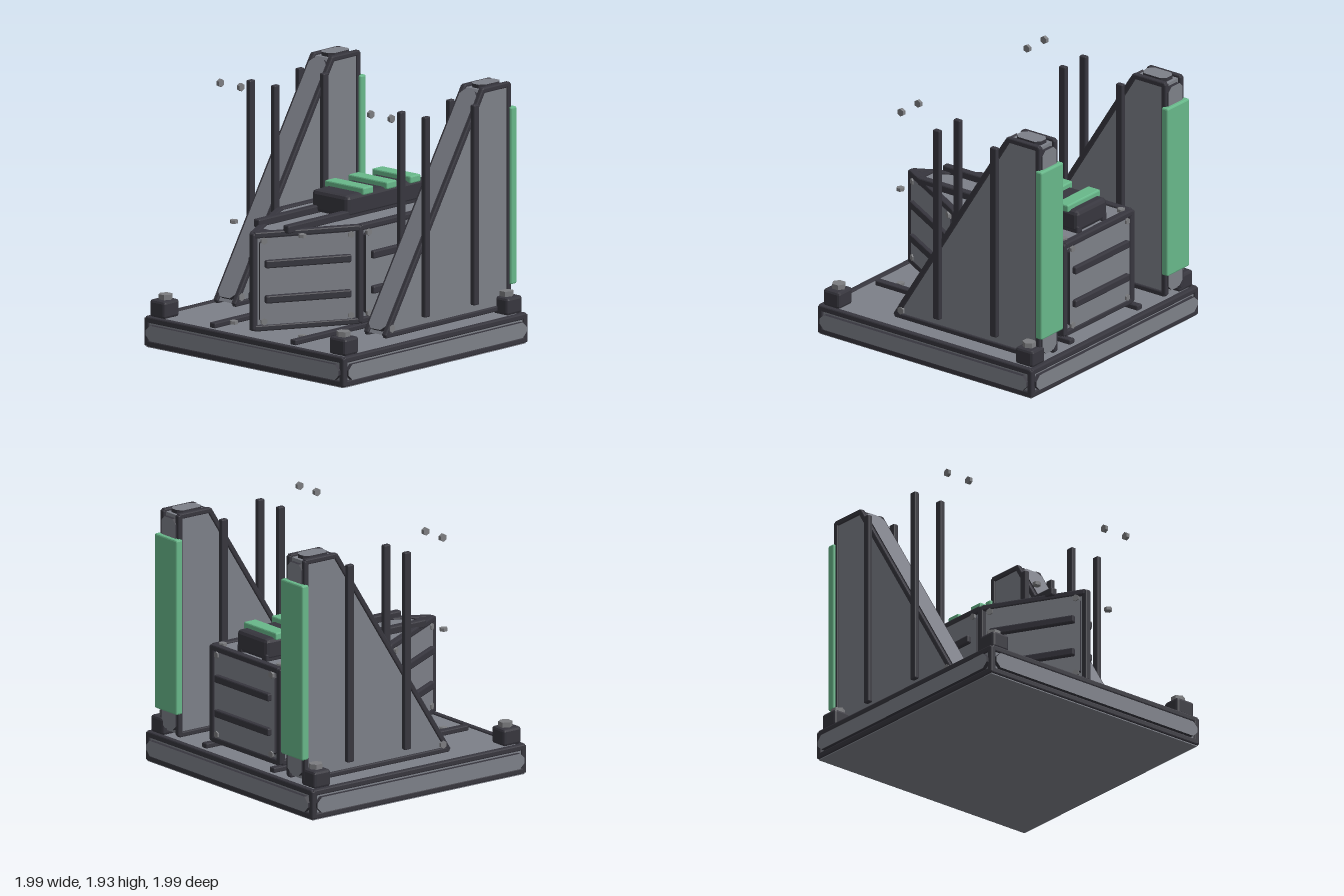
import * as THREE from 'three';
import { RoundedBoxGeometry } from 'three/addons/geometries/RoundedBoxGeometry.js';

const mat = (name, color) => new THREE.MeshStandardMaterial({ name, color });
const V = (x, y, z) => new THREE.Vector3(x, y, z);

export function createModel() {
  const grey = mat('panel grey', 0x7d8088);
  const dark = mat('frame charcoal', 0x37363e);
  const green = mat('accent green', 0x68b88a);
  const steel = mat('bolt steel', 0x7c7d80);

  const model = new THREE.Group();
  model.name = 'monument';

  const flat = (geo) => {
    const g = geo.index ? geo.toNonIndexed() : geo;
    g.computeVertexNormals();
    return g;
  };

  const add = (parent, name, geo, material, pos = V(0, 0, 0)) => {
    const mesh = new THREE.Mesh(geo, material);
    mesh.name = name;
    mesh.position.copy(pos);
    parent.add(mesh);
    return mesh;
  };

  // Chamfered box
  const box = (parent, name, material, pos, w, h, d, bevel = 0.01) =>
    add(parent, name, flat(new RoundedBoxGeometry(w, h, d, 1, bevel)), material, pos);

  // Turn a mesh so its z axis points along a direction
  const face = (mesh, dir) => {
    const q = new THREE.Object3D();
    q.position.copy(mesh.position);
    q.lookAt(mesh.position.clone().add(dir));
    mesh.quaternion.copy(q.quaternion);
    return mesh;
  };

  // Chamfered bar between two points
  const beam = (parent, name, a, b, w = 0.045, h = w, extra = 0.02) => {
    const dir = b.clone().sub(a);
    const mid = a.clone().add(b).multiplyScalar(0.5);
    const bar = box(parent, name, dark, mid, w, h, dir.length() + extra, Math.min(w, h) * 0.22);
    return face(bar, dir);
  };

  // Eight-sided plate with a grey face and dark rim, standing on a surface
  const panel = (parent, name, pos, normal, w, h, cut = 0.04, depth = 0.025) => {
    const x = w / 2, y = h / 2;
    const shape = new THREE.Shape([
      [-x + cut, -y], [x - cut, -y], [x, -y + cut], [x, y - cut],
      [x - cut, y], [-x + cut, y], [-x, y - cut], [-x, -y + cut],
    ].map(([px, py]) => new THREE.Vector2(px, py)));
    const geo = new THREE.ExtrudeGeometry(shape, { depth, bevelEnabled: false });
    return face(add(parent, name, geo, [grey, dark], pos), normal);
  };

  // Hexagonal bolt
  const bolt = (parent, pos, normal, r = 0.03, depth = 0.025) => {
    const geo = flat(new THREE.CylinderGeometry(r, r, depth, 6).rotateX(Math.PI / 2));
    return face(add(parent, 'bolt', geo, steel, pos), normal);
  };

  const UP = V(0, 1, 0);

  // --- Base slab with edge frame, side panels and corner blocks ---
  const base = new THREE.Group();
  base.name = 'base';
  model.add(base);
  add(base, 'baseSlab', new THREE.BoxGeometry(1.93, 0.215, 1.93), grey, V(0, 0.1075, 0));
  for (let i = 0; i < 4; i++) {
    const side = new THREE.Group();
    side.name = 'baseSide';
    side.rotation.y = i * Math.PI / 2;
    base.add(side);
    beam(side, 'baseTopRail', V(-0.955, 0.205, 0.955), V(0.955, 0.205, 0.955), 0.045);
    beam(side, 'baseBottomRail', V(-0.955, 0.03, 0.955), V(0.955, 0.03, 0.955), 0.045);
    beam(side, 'baseCornerPost', V(0.955, 0.02, 0.955), V(0.955, 0.21, 0.955), 0.045);
    panel(side, 'baseSidePanel', V(0, 0.113, 0.965), V(0, 0, 1), 1.89, 0.115, 0.04, 0.03);
    box(side, 'cornerBlock', dark, V(0.878, 0.29, 0.868), 0.16, 0.13, 0.15, 0.02);
    bolt(side, V(0.87, 0.37, 0.865), UP, 0.052, 0.045);
  }

  // Long floor rails and floor bolts
  for (const s of [-1, 1]) {
    box(base, 'floorRail', dark, V(s * 0.395, 0.235, -0.005), 0.055, 0.04, 1.78, 0.008);
    bolt(base, V(s * 0.335, 0.24, 0.72), UP);
  }

  // --- Two tall triangular fins ---
  const profile = [[0.37, 0.265], [-0.655, 1.9], [-0.925, 1.9], [-0.925, 0.265]];
  const finShape = new THREE.Shape(profile.map(([z, y]) => new THREE.Vector2(-z, y)));
  const finGeo = new THREE.ExtrudeGeometry(finShape, { depth: 0.19, bevelEnabled: false });
  finGeo.translate(0, 0, -0.095).rotateY(Math.PI / 2);
  const edgeNames = ['Slope', 'Top', 'Back', 'Bottom'];
  for (const s of [-1, 1]) {
    const fin = new THREE.Group();
    fin.name = s > 0 ? 'leftFin' : 'rightFin';
    fin.position.x = s * 0.737;
    model.add(fin);
    add(fin, 'finCore', finGeo, grey);
    profile.forEach(([z, y], i) => {
      const [z2, y2] = profile[(i + 1) % 4];
      const len = Math.hypot(z2 - z, y2 - y);
      const normal = V(0, -(z2 - z) / len, (y2 - y) / len);
      const mid = V(0, (y + y2) / 2, (z + z2) / 2);
      // Dark rails on both edges of each face, and a panel between them
      for (const e of [-1, 1]) {
        beam(fin, 'fin' + edgeNames[i] + 'Rail', V(e * 0.088, y, z), V(e * 0.088, y2, z2), 0.04);
      }
      if (i < 3) {
        panel(fin, 'fin' + edgeNames[i] + 'Panel', mid, normal,
          i === 1 ? 0.13 : 0.165, len - 0.05, 0.035, 0.028);
      }
    });
    // Upright rods and side bolts on both sides
    for (const e of [-1, 1]) {
      for (const z of [-0.025, -0.545]) {
        box(fin, 'finRod', dark, V(e * 0.12, 1.08, z), 0.04, 1.48, 0.057, 0.008);
      }
      for (const y of [0.31, 1.86]) bolt(fin, V(e * 0.1, y, 0.32), V(e, 0, 0));
    }
    box(fin, 'finBackLight', green, V(0, 1.08, -0.952), 0.257, 1.31, 0.06, 0.012);
  }

  // --- Central hull with pointed front ---
  const hull = new THREE.Group();
  hull.name = 'hull';
  model.add(hull);
  const plan = [[-0.39, -0.81], [-0.39, 0.175], [0, 0.875], [0.39, 0.175], [0.39, -0.81]];
  const planShape = new THREE.Shape(plan.map(([x, z]) => new THREE.Vector2(x, -z)));
  const hullGeo = new THREE.ExtrudeGeometry(planShape, { depth: 0.71, bevelEnabled: false });
  add(hull, 'hullCore', hullGeo.rotateX(-Math.PI / 2), grey, V(0, 0.26, 0));
  plan.forEach(([x, z], i) => {
    const [x2, z2] = plan[(i + 1) % 5];
    const len = Math.hypot(x2 - x, z2 - z);
    const t = V((x2 - x) / len, 0, (z2 - z) / len);
    const n = V(-t.z, 0, t.x);
    const at = (along, y, out) => V((x + x2) / 2, y, (z + z2) / 2)
      .addScaledVector(t, along).addScaledVector(n, out);
    // Frame around the wall
    beam(hull, 'hullTopRail', V(x, 0.963, z), V(x2, 0.963, z2), 0.055, 0.045, 0);
    beam(hull, 'hullBottomRail', V(x, 0.275, z), V(x2, 0.275, z2), 0.05, 0.045, 0);
    box(hull, 'hullPost', dark, V(x, 0.62, z), 0.05, 0.72, 0.05, 0.012);
    // Wall panel, two ribs and corner bolts
    panel(hull, 'hullWallPanel', at(0, 0.62, 0), n, len - 0.08, 0.64, 0.04, 0.026);
    for (const y of [0.49, 0.75]) {
      beam(hull, 'hullRib', at(-len * 0.405, y, 0.035), at(len * 0.405, y, 0.035), 0.045, 0.058, 0);
    }
    for (const y of [0.325, 0.92]) {
      for (const e of [-1, 1]) bolt(hull, at(e * (len / 2 - 0.07), y, 0.027), n, 0.026, 0.02);
    }
  });

  // Deck: corner bolts, nose wedge, ridge strips
  for (const s of [-1, 1]) {
    for (const z of [-0.77, 0.72]) bolt(hull, V(s * 0.335, 0.985, z), UP);
    box(hull, 'deckStrip', dark, V(s * 0.145, 0.995, -0.04), 0.057, 0.06, 1.46, 0.01);
  }
  const nose = new THREE.Shape([[-0.07, -0.73], [0.07, -0.73], [0, -0.875]]
    .map(([x, y]) => new THREE.Vector2(x, y)).reverse());
  const noseGeo = new THREE.ExtrudeGeometry(nose, { depth: 0.03, bevelEnabled: false });
  add(hull, 'noseWedge', noseGeo.rotateX(-Math.PI / 2), dark, V(0, 0.95, 0));

  // Raised vent with three green slats
  box(hull, 'ventBlock', dark, V(0, 1.055, -0.35), 0.355, 0.165, 0.84, 0.03);
  for (const z of [-0.64, -0.388, -0.14]) {
    box(hull, 'ventSlat', green, V(0, 1.148, z), 0.38, 0.055, 0.11, 0.01);
  }

  return model;
}
